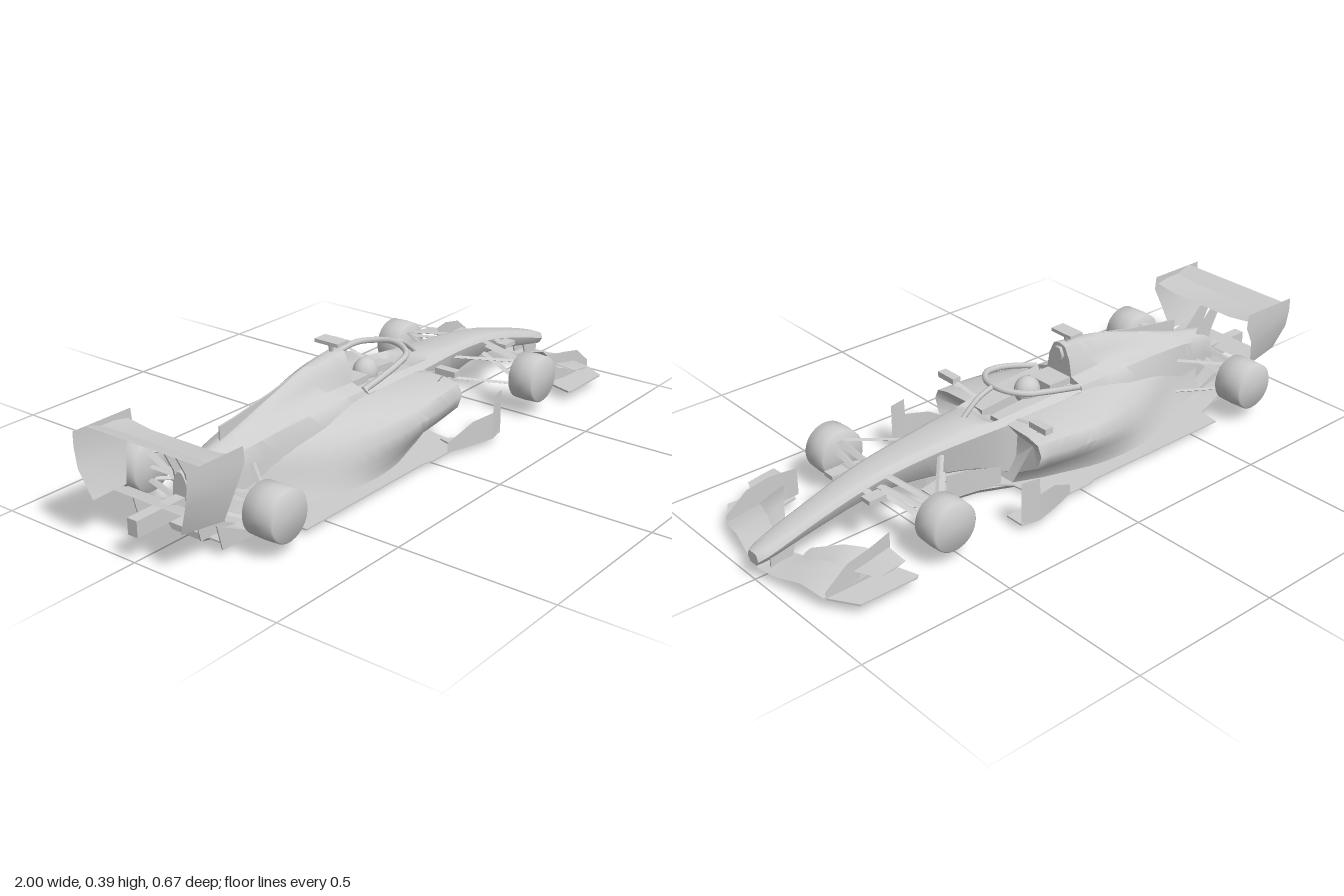
import * as THREE from 'three';
import { toCreasedNormals } from 'three/addons/utils/BufferGeometryUtils.js';

export function createModel() {
  const car = new THREE.Group();
  car.name = 'racingCar';
  const grey = new THREE.MeshStandardMaterial({ color: 0xcccccc, side: THREE.DoubleSide });
  grey.name = 'plainGrey';

  const add = (name, geo, x = 0, y = 0, z = 0) => {
    const m = new THREE.Mesh(geo, grey);
    m.name = name;
    m.position.set(x, y, z);
    car.add(m);
    return m;
  };
  const sides = (fn) => [['left', 1], ['right', -1]].forEach(([n, s]) => fn(s, n));
  const V = (x, y, z) => new THREE.Vector3(x, y, z);

  // Surface through rows of points; closed rows make a solid with end caps
  function skin(rows, closed = false, crease = 0.7, capDepth = 0) {
    const n = rows[0].length, pos = rows.flat().flatMap((p) => [...p]), idx = [];
    for (let i = 0; i < rows.length - 1; i++) {
      for (let j = 0; j < (closed ? n : n - 1); j++) {
        const a = i * n + j, b = i * n + (j + 1) % n;
        idx.push(a, b, a + n, b, b + n, a + n);
      }
    }
    if (closed) {
      [0, rows.length - 1].forEach((r) => {
        const c = [0, 1, 2].map((k) => rows[r].reduce((t, p) => t + p[k], 0) / n);
        if (r === 0) c[0] -= capDepth;
        const ci = pos.length / 3;
        pos.push(...c);
        for (let j = 0; j < n; j++) {
          const a = r * n + j, b = r * n + (j + 1) % n;
          if (r === 0) idx.push(ci, b, a); else idx.push(ci, a, b);
        }
      });
    }
    const g = new THREE.BufferGeometry();
    g.setAttribute('position', new THREE.Float32BufferAttribute(pos, 3));
    g.setIndex(idx);
    return toCreasedNormals(g, crease);
  }

  // Add smooth in-between rows along a loft
  function smooth(rows, steps = 4) {
    const lines = rows[0].map((_, j) => new THREE.CatmullRomCurve3(rows.map((r) => V(...r[j]))));
    const n = (rows.length - 1) * steps;
    return Array.from({ length: n + 1 }, (_, i) => lines.map((c) => c.getPoint(i / n).toArray()));
  }
  // Half section [y, z] made into a full mirrored ring at x
  const ring = (x, half) => [
    ...half.map(([y, z]) => [x, y, z]),
    ...half.slice(1, -1).reverse().map(([y, z]) => [x, y, -z]),
  ];
  // Upright plate in the xy plane
  function plate(name, pts, z, t = 0.006) {
    const s = new THREE.Shape(pts.map(([x, y]) => new THREE.Vector2(x, y)));
    return add(name, new THREE.ExtrudeGeometry(s, { depth: t, bevelEnabled: false }), 0, 0, z - t / 2);
  }
  // Flat plate in the xz plane
  function slab(name, pts, y, t) {
    const s = new THREE.Shape(pts.map(([x, z]) => new THREE.Vector2(x, z)));
    const g = new THREE.ExtrudeGeometry(s, { depth: t, bevelEnabled: false }).rotateX(Math.PI / 2);
    return add(name, g, 0, y + t, 0);
  }
  const mirrorOutline = (h) => [...h, ...h.map(([x, z]) => [x, -z]).reverse()];
  // Aerofoil rod between two points
  function rod(name, a, b, w = 0.013, t = 0.005) {
    const sec = ([x, y, z]) => [[x + w, y, z], [x, y + t, z], [x - w, y, z], [x, y - t, z]];
    return add(name, skin([sec(a), sec(b)], true));
  }
  // Curved wing element: rows of [z, leading x, leading y, trailing x, trailing y]
  function wing(name, rows, s = 1, t = 0.006) {
    const out = rows.map(([z, lx, ly, tx, ty]) => {
      const mx = (lx + tx) / 2, my = ly + (ty - ly) * 0.35;
      return [[lx, ly, z * s], [mx, my + t, z * s], [tx, ty, z * s], [mx, my - t, z * s]];
    });
    return add(name, skin(out, true, 0.6));
  }

  // Nose and tub: x, top, bottom, top half width, bottom half width, cockpit dip
  const tub = [
    [1.0, 0.092, 0.055, 0.026, 0.022, 0], [0.97, 0.104, 0.06, 0.036, 0.03, 0],
    [0.8, 0.157, 0.098, 0.044, 0.036, 0], [0.6, 0.206, 0.128, 0.055, 0.042, 0],
    [0.4, 0.227, 0.11, 0.069, 0.05, 0], [0.22, 0.237, 0.07, 0.09, 0.07, 0],
    [0.15, 0.242, 0.04, 0.1, 0.09, 0.04], [0, 0.252, 0.02, 0.11, 0.1, 0.07],
    [-0.13, 0.258, 0.02, 0.11, 0.1, 0.06],
  ].map(([x, yt, yb, wt, wb, d]) => ring(x, [
    [yt - d, 0], [yt - d, wt * 0.6], [yt - 0.004, wt * 0.8], [yt - 0.022, wt], [yb + 0.012, wb], [yb, wb * 0.7], [yb, 0],
  ]));
  add('noseAndTub', skin(smooth(tub), true));

  // Engine cover: narrow spine over a broad shoulder
  const cover = [
    [-0.14, [[0.362, 0], [0.355, 0.025], [0.315, 0.045], [0.262, 0.055], [0.248, 0.1], [0.2, 0.118], [0.03, 0.12], [0.03, 0]]],
    [-0.3, [[0.345, 0], [0.337, 0.018], [0.3, 0.034], [0.265, 0.052], [0.246, 0.098], [0.2, 0.118], [0.03, 0.12], [0.03, 0]]],
    [-0.47, [[0.297, 0], [0.29, 0.014], [0.268, 0.028], [0.25, 0.05], [0.236, 0.084], [0.18, 0.1], [0.03, 0.105], [0.03, 0]]],
    [-0.66, [[0.238, 0], [0.235, 0.014], [0.23, 0.026], [0.222, 0.044], [0.21, 0.06], [0.15, 0.066], [0.04, 0.07], [0.04, 0]]],
    [-0.82, [[0.2, 0], [0.198, 0.008], [0.19, 0.014], [0.18, 0.02], [0.165, 0.026], [0.12, 0.028], [0.08, 0.025], [0.08, 0]]],
  ].map(([x, h]) => ring(x, h));
  add('engineCover', skin(smooth(cover), true, 0.8));
  plate('engineFin', [[-0.66, 0.235], [-0.66, 0.28], [-0.6, 0.287], [-0.45, 0.312], [-0.3, 0.344], [-0.3, 0.3]], 0, 0.005);
  const intake = new THREE.CylinderGeometry(0.028, 0.028, 0.016, 6).rotateZ(Math.PI / 2).scale(1, 1, 0.8);
  add('airIntake', intake, -0.137, 0.325, 0);
  add('headrest', new THREE.BoxGeometry(0.09, 0.05, 0.1), -0.1, 0.235, 0);

  // Roof camera
  add('cameraStalk', new THREE.CylinderGeometry(0.012, 0.006, 0.035, 6), -0.17, 0.373, 0);
  add('roofCamera', new THREE.BoxGeometry(0.05, 0.011, 0.088), -0.17, 0.39, 0);

  // Sidepods: undercut at the front, pinched in towards the tail
  const pod = [
    [0.16, [[0.222, 0.1], [0.218, 0.19], [0.207, 0.235], [0.175, 0.25], [0.13, 0.235], [0.08, 0.15], [0.03, 0.12]]],
    [0.02, [[0.232, 0.1], [0.22, 0.19], [0.2, 0.24], [0.16, 0.256], [0.11, 0.235], [0.06, 0.175], [0.02, 0.16]]],
    [-0.14, [[0.238, 0.09], [0.21, 0.17], [0.185, 0.225], [0.145, 0.245], [0.1, 0.236], [0.05, 0.21], [0.02, 0.205]]],
    [-0.32, [[0.23, 0.08], [0.19, 0.13], [0.16, 0.165], [0.115, 0.187], [0.07, 0.195], [0.04, 0.2], [0.02, 0.205]]],
    [-0.52, [[0.2, 0.06], [0.17, 0.085], [0.14, 0.097], [0.1, 0.105], [0.06, 0.118], [0.035, 0.128], [0.02, 0.135]]],
    [-0.72, [[0.16, 0.03], [0.14, 0.045], [0.12, 0.05], [0.09, 0.055], [0.06, 0.06], [0.04, 0.065], [0.02, 0.07]]],
  ];
  sides((s, n) => {
    const rows = pod.map(([x, h]) => [...h, [h[6][0], 0.02], [h[0][0], 0.02]].map(([y, z]) => [x, y, z * s]));
    add(n + 'Sidepod', skin(smooth(rows), true, 0.8, 0.06));
  });

  // Floor, plank and diffuser
  slab('floor', mirrorOutline([[0.3, 0.06], [0.2, 0.085], [0.16, 0.12], [0.14, 0.25], [0.1, 0.27], [-0.02, 0.27], [-0.05, 0.26], [-0.6, 0.26], [-0.61, 0.19], [-0.7, 0.16], [-0.8, 0.15]]), 0.017, 0.005);
  const plank = [[0.38, 0.035], [0.25, 0.06], [0.14, 0.11], [-0.4, 0.125], [-0.7, 0.09], [-0.8, 0.06]];
  add('plank', skin(plank.map(([x, w]) => ring(x, [[0.002, 0], [0.002, w], [0.018, w + 0.014], [0.018, 0]])), true, 0.3));
  add('diffuser', skin([-0.16, -0.05, 0.05, 0.16].map((z) => [[-0.7, 0.02, z], [-0.78, 0.04, z], [-0.85, 0.09, z]])));
  [-0.16, -0.08, 0.08, 0.16].forEach((z) => plate('diffuserFence', [[-0.68, 0.015], [-0.83, 0.022], [-0.85, 0.1], [-0.77, 0.06]], z, 0.004));

  // Helmet and head protection hoop
  add('helmet', new THREE.SphereGeometry(0.043, 24, 16).scale(1, 1.05, 0.9), -0.005, 0.244, 0);
  const hoop = [[-0.13, 0.248, 0.098], [-0.06, 0.268, 0.107], [0.02, 0.287, 0.108], [0.08, 0.296, 0.093], [0.12, 0.301, 0.045], [0.13, 0.304, 0]];
  const loop = [...hoop.map((p) => V(...p)), ...hoop.slice(0, -1).reverse().map(([x, y, z]) => V(x, y, -z))];
  const tube = (name, pts, r) => add(name, new THREE.TubeGeometry(new THREE.CatmullRomCurve3(pts), 40, r, 8));
  tube('haloHoop', loop, 0.01);
  tube('haloPillar', [V(0.13, 0.304, 0), V(0.19, 0.283, 0), V(0.26, 0.228, 0)], 0.008);

  // Wheels: near-square drums with flat faces
  const tyre = (h) => [[0, -h], [0.072, -h], [0.077, -h + 0.005], [0.079, 0], [0.077, h - 0.005], [0.072, h], [0, h]]
    .map(([r, y]) => new THREE.Vector2(r, y));
  [['front', 0.537, 0.269, 0.045], ['rear', -0.724, 0.256, 0.053]].forEach(([end, x, z, h]) => sides((s, n) => {
    const g = new THREE.LatheGeometry(tyre(h), 40).rotateX(Math.PI / 2);
    add(`${end}${n}Wheel`, toCreasedNormals(g, 0.9), x, 0.123, s * z);
  }));

  // Suspension arms: wheel end, body end
  const arms = {
    frontSuspension: [
      [0.54, 0.17, 0.23, 0.575, 0.19, 0.045], [0.53, 0.17, 0.23, 0.385, 0.19, 0.06],
      [0.54, 0.09, 0.23, 0.59, 0.14, 0.04], [0.53, 0.09, 0.23, 0.37, 0.12, 0.045],
      [0.56, 0.15, 0.23, 0.6, 0.165, 0.04],
    ],
    rearSuspension: [
      [-0.72, 0.17, 0.21, -0.59, 0.17, 0.05], [-0.73, 0.17, 0.21, -0.79, 0.15, 0.02],
      [-0.72, 0.085, 0.21, -0.57, 0.07, 0.08], [-0.73, 0.085, 0.21, -0.8, 0.1, 0.02],
      [-0.725, 0.125, 0.21, -0.725, 0.125, 0.03],
    ],
  };
  sides((s, n) => {
    for (const [name, list] of Object.entries(arms)) {
      list.forEach(([a, b, c, d, e, f]) => rod(n + name, [a, b, c * s], [d, e, f * s]));
    }

    // Nose winglet pods and mirrors
    add(n + 'NosePod', new THREE.BoxGeometry(0.06, 0.014, 0.04), 0.65, 0.166, s * 0.09);
    rod(n + 'NosePodStalk', [0.65, 0.168, s * 0.08], [0.65, 0.175, s * 0.035], 0.012, 0.003);
    add(n + 'Mirror', new THREE.BoxGeometry(0.03, 0.019, 0.073), 0.13, 0.252, s * 0.214);
    rod(n + 'MirrorStalk', [0.13, 0.247, s * 0.19], [0.12, 0.225, s * 0.095], 0.008, 0.002);
    rod(n + 'MirrorBrace', [0.13, 0.245, s * 0.205], [0.11, 0.21, s * 0.185], 0.008, 0.002);

    // Turning vanes ahead of the sidepods
    const vane = (name, pts) => add(n + name, skin(pts.map(([x, z, y0, y1]) => [[x, y0, z * s], [x, y1, z * s]])));
    vane('BargeBoard', [[0.29, 0.31, 0.03, 0.165], [0.23, 0.322, 0.025, 0.165], [0.228, 0.322, 0.022, 0.11], [0.15, 0.3, 0.02, 0.1], [0.06, 0.268, 0.018, 0.05]]);
    vane('InnerVane', [[0.36, 0.05, 0.02, 0.1], [0.28, 0.07, 0.02, 0.1], [0.18, 0.09, 0.02, 0.08]]);
    slab(n + 'VaneFoot', [[0.12, 0.2], [0.17, 0.24], [0.29, 0.245], [0.29, 0.31], [0.23, 0.322], [0.1, 0.27]].map(([x, z]) => [x, z * s]), 0.022, 0.005);

    // Front wing
    wing(n + 'FrontWingMain', [[0, 0.985, 0.03, 0.88, 0.042], [0.07, 0.975, 0.034, 0.865, 0.05], [0.16, 0.955, 0.052, 0.83, 0.072], [0.25, 0.935, 0.037, 0.8, 0.055]], s);
    wing(n + 'FrontWingFlap', [[0.06, 0.885, 0.052, 0.85, 0.07], [0.15, 0.855, 0.075, 0.8, 0.105], [0.2, 0.84, 0.072, 0.765, 0.105], [0.25, 0.82, 0.058, 0.735, 0.09]], s);
    vane('FrontEndplate', [[0.935, 0.25, 0.032, 0.06], [0.86, 0.25, 0.032, 0.118], [0.78, 0.247, 0.032, 0.134], [0.7, 0.227, 0.05, 0.14]]);
    slab(n + 'FrontFootplate', [[0.935, 0.245], [0.88, 0.333], [0.69, 0.333], [0.68, 0.325], [0.71, 0.23], [0.76, 0.22]].map(([x, z]) => [x, z * s]), 0.034, 0.006);
    wing(n + 'FrontWinglet', [[0.25, 0.84, 0.085, 0.72, 0.11], [0.325, 0.81, 0.09, 0.72, 0.103]], s, 0.003);
    plate(n + 'NosePylon', [[0.96, 0.035], [0.96, 0.075], [0.87, 0.1], [0.89, 0.04]], s * 0.022, 0.005);

    // Rear wing endplate, drawn inwards at the bottom
    const end = [
      [[-0.79, 0.325, 0.21], [-1, 0.325, 0.21]], [[-0.785, 0.28, 0.21], [-1, 0.28, 0.21]],
      [[-0.815, 0.22, 0.208], [-1, 0.22, 0.2]], [[-0.845, 0.12, 0.185], [-0.985, 0.13, 0.165]],
    ];
    add(n + 'RearEndplate', skin(end.map((r) => r.map(([x, y, z]) => [x, y, z * s]))));
    plate(n + 'RearWingPylon', [[-0.72, 0.17], [-0.76, 0.22], [-0.83, 0.29], [-0.87, 0.295], [-0.82, 0.2], [-0.81, 0.15]], s * 0.022, 0.006);
  });

  // Rear wing planes and crash structure
  wing('rearWingMain', [[-0.21, -0.8, 0.298, -0.9, 0.308], [-0.12, -0.8, 0.286, -0.9, 0.305], [0.12, -0.8, 0.286, -0.9, 0.305], [0.21, -0.8, 0.298, -0.9, 0.308]]);
  wing('rearWingFlap', [[-0.21, -0.89, 0.305, -0.955, 0.326], [0.21, -0.89, 0.305, -0.955, 0.326]], 1, 0.004);
  wing('beamWing', [[-0.17, -0.85, 0.12, -0.92, 0.14], [0.17, -0.85, 0.12, -0.92, 0.14]], 1, 0.004);
  add('crashStructure', new THREE.BoxGeometry(0.2, 0.05, 0.036), -0.9, 0.105, 0);

  return car;
}
